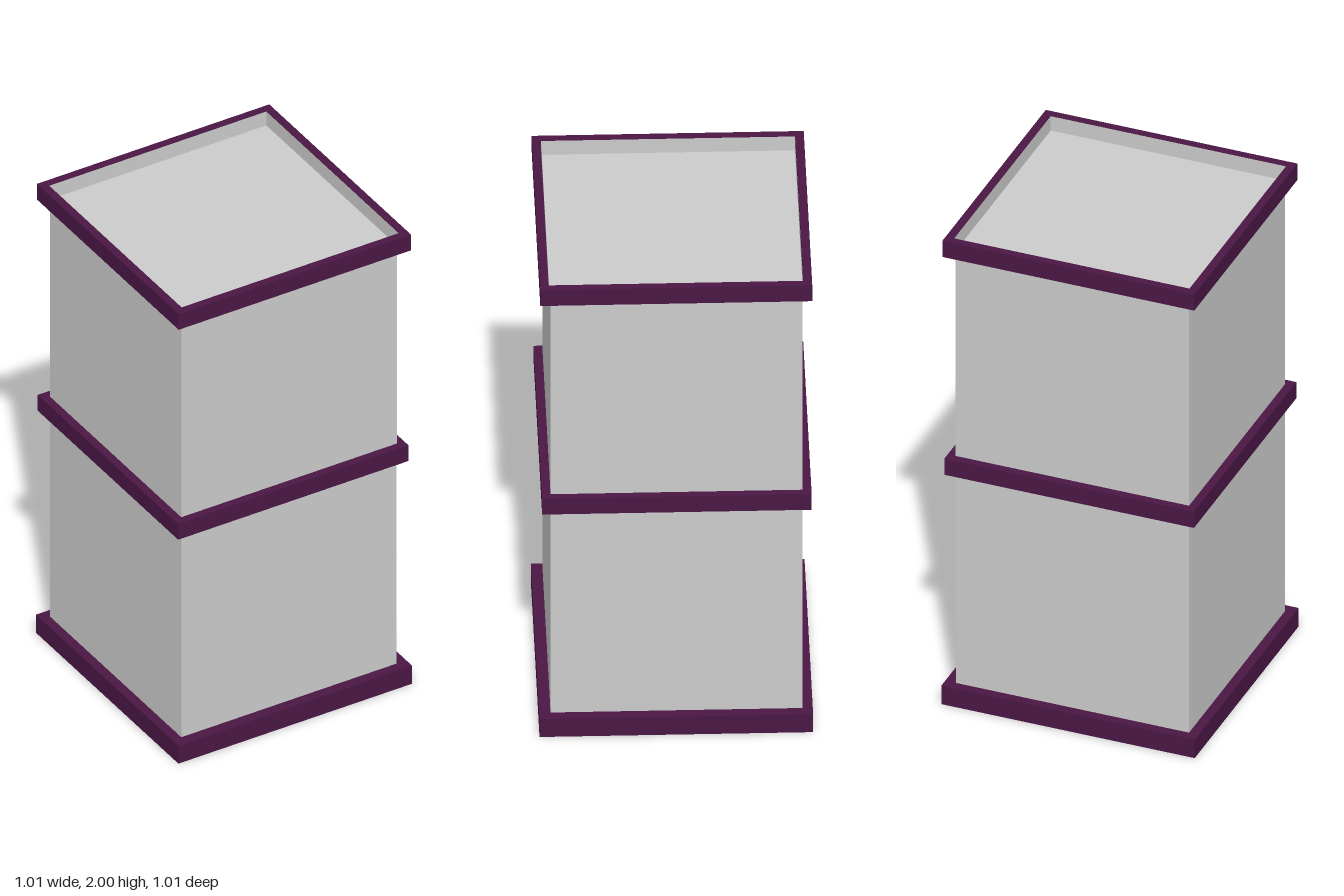
import * as THREE from 'three';

const grey = new THREE.MeshStandardMaterial({ color: 0xcccccc, flatShading: true });
const greyThin = new THREE.MeshStandardMaterial({ color: 0xcccccc, flatShading: true, side: THREE.DoubleSide });
const purple = new THREE.MeshStandardMaterial({ color: 0x4a1745, flatShading: true });

// Box given by its limits in x, y and z
function block(name, [x0, x1], [y0, y1], [z0, z1], material) {
  const mesh = new THREE.Mesh(new THREE.BoxGeometry(x1 - x0, y1 - y0, z1 - z0), material);
  mesh.position.set((x0 + x1) / 2, (y0 + y1) / 2, (z0 + z1) / 2);
  mesh.name = name;
  return mesh;
}

function square(PathType, half) {
  const path = new PathType();
  path.moveTo(-half, -half);
  path.lineTo(half, -half);
  path.lineTo(half, half);
  path.lineTo(-half, half);
  path.closePath();
  return path;
}

export function createModel() {
  const model = new THREE.Group();
  model.name = 'stackedBoxes';
  const side = [-0.467, 0.463];

  // Two stacked grey bodies
  model.add(block('lowerBody', side, [0.06, 1.0], side, grey));
  model.add(block('upperBody', [-0.467, 0.465], [1.04, 1.935], side, grey));

  // Base band with a grey underside, and the middle band
  const baseMaterials = [purple, purple, purple, grey, purple, purple];
  model.add(block('baseBand', [-0.505, 0.505], [0, 0.08], [-0.505, 0.505], baseMaterials));
  model.add(block('middleBand', [-0.5, 0.495], [0.99, 1.06], [-0.5, 0.495], purple));

  // Raised rim around the top
  const top = new THREE.Group();
  top.name = 'topRim';
  const frame = square(THREE.Shape, 0.502);
  frame.holes.push(square(THREE.Path, 0.47));
  const rim = new THREE.Mesh(new THREE.ExtrudeGeometry(frame, { depth: 0.07, bevelEnabled: false }), purple);
  rim.name = 'rimFrame';
  rim.rotation.x = -Math.PI / 2;
  rim.position.y = 1.93;
  top.add(rim);

  // Grey lining on the four inner faces of the rim
  for (let i = 0; i < 4; i++) {
    const lining = new THREE.Mesh(new THREE.PlaneGeometry(0.938, 0.068), greyThin);
    const angle = (i * Math.PI) / 2;
    lining.name = 'rimLining';
    lining.rotation.y = angle;
    lining.position.set(-0.469 * Math.sin(angle), 1.965, -0.469 * Math.cos(angle));
    top.add(lining);
  }

  // Recessed lid panel inside the rim
  top.add(block('lidPanel', [-0.469, 0.469], [1.931, 1.937], [-0.469, 0.469], grey));
  model.add(top);

  return model;
}
